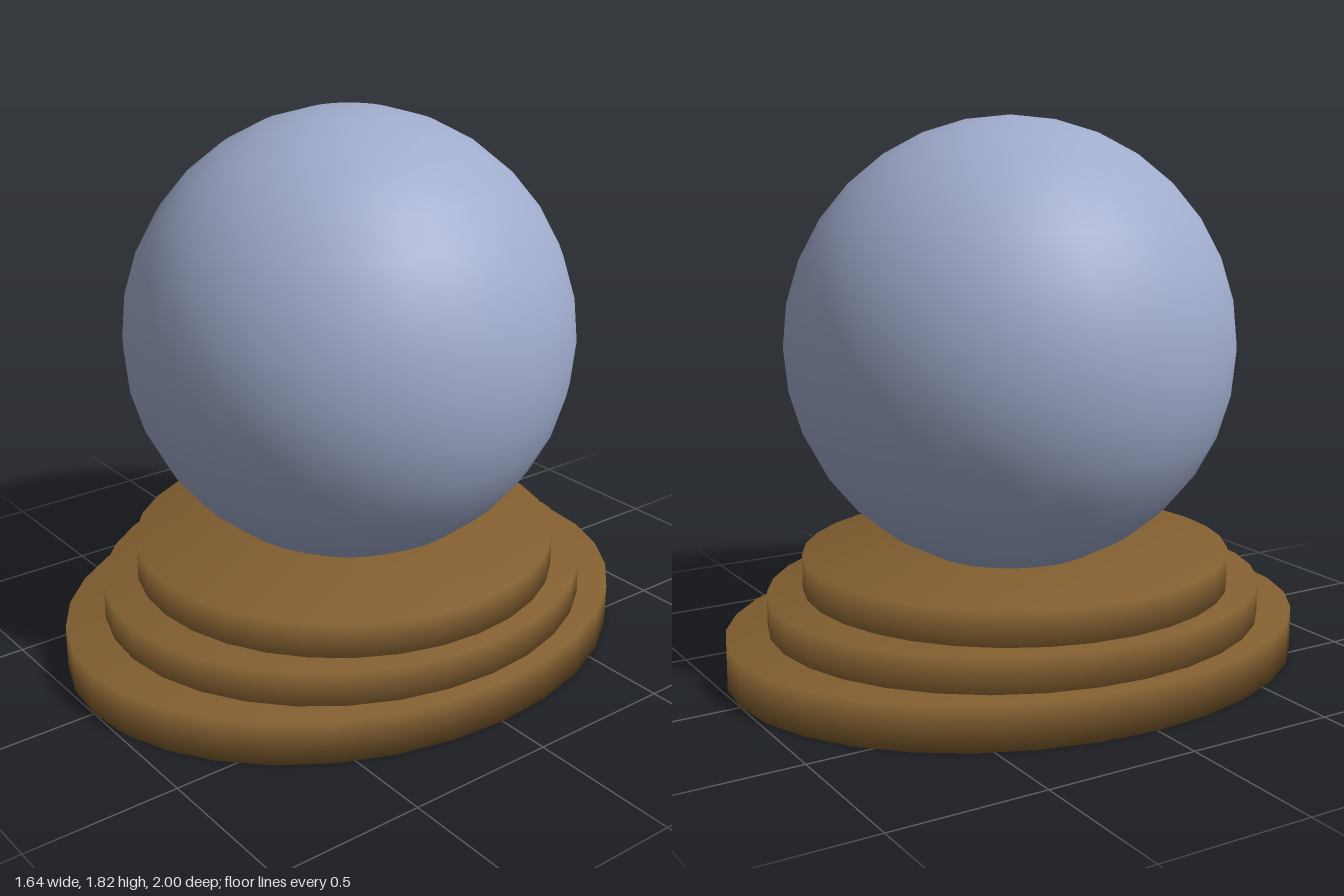
import * as THREE from 'three';
import { mergeVertices } from 'three/addons/utils/BufferGeometryUtils.js';

const wood = new THREE.MeshStandardMaterial({ color: 0x835f30 });
wood.name = 'brown wood';
const glass = new THREE.MeshStandardMaterial({ color: 0xa0accd });
glass.name = 'pale blue glass';

// Oval slab with normals softened across its rim
function ovalSlab(rx, rz, height) {
  const slab = new THREE.CylinderGeometry(1, 1, height, 32);
  slab.scale(rx, 1, rz);
  slab.deleteAttribute('normal');
  slab.deleteAttribute('uv');
  const merged = mergeVertices(slab, 1e-4);
  merged.computeVertexNormals();
  return merged;
}

export function createModel() {
  const model = new THREE.Group();
  model.name = 'crystalBall';

  // Stepped oval base: x radius, z radius, top height
  const base = new THREE.Group();
  base.name = 'base';
  const slabHeight = 0.145;
  const tiers = [
    ['lowerTier', 0.82, 1.0, 0.145],
    ['middleTier', 0.764, 0.85, 0.26],
    ['upperTier', 0.7, 0.722, 0.375],
  ];
  for (const [name, rx, rz, top] of tiers) {
    const tier = new THREE.Mesh(ovalSlab(rx, rz, slabHeight), wood);
    tier.name = name;
    tier.position.y = top - slabHeight / 2;
    base.add(tier);
  }
  model.add(base);

  // Ball resting in the base, slightly behind centre
  const ball = new THREE.Mesh(new THREE.SphereGeometry(0.745, 32, 16), glass);
  ball.name = 'ball';
  ball.position.set(0, 1.07, -0.02);
  model.add(ball);

  return model;
}
